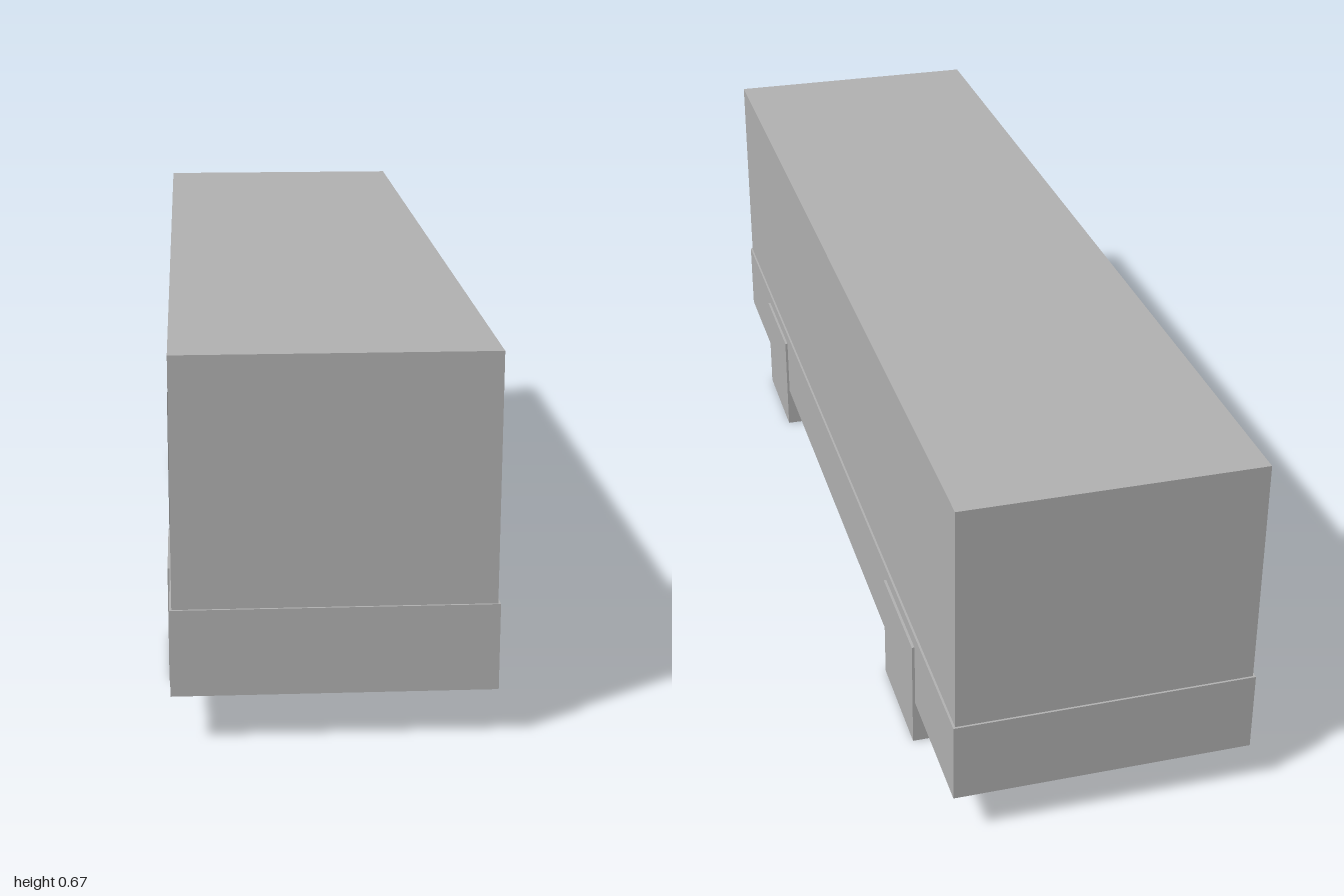
import * as THREE from 'three';

const grey = new THREE.MeshStandardMaterial({ color: 0xb2b2b2, side: THREE.DoubleSide });
grey.name = 'grey';

// Box standing on y0, with its underside left open
function openBox(name, w, d, y0, y1, x = 0, z = 0) {
  const geo = new THREE.BoxGeometry(w, y1 - y0, d);
  const index = Array.from(geo.index.array);
  index.splice(18, 6); // remove the bottom face
  geo.setIndex(index);
  geo.clearGroups();
  const mesh = new THREE.Mesh(geo, grey);
  mesh.name = name;
  mesh.position.set(x, (y0 + y1) / 2, z);
  return mesh;
}

// Flat window panel lying just proud of a wall
function panel(name, w, y0, y1, x, z, turn) {
  const mesh = new THREE.Mesh(new THREE.PlaneGeometry(w, y1 - y0), grey);
  mesh.name = name;
  mesh.position.set(x, (y0 + y1) / 2, z);
  mesh.rotation.y = turn;
  return mesh;
}

export function createModel() {
  const bus = new THREE.Group();
  bus.name = 'bus';

  // Upper body and the slightly wider hollow skirt below it
  bus.add(openBox('body', 0.542, 1.992, 0.239, 0.67));
  bus.add(openBox('skirt', 0.55, 2, 0.087, 0.239));

  // Rear window
  bus.add(panel('rearWindow', 0.47, 0.33, 0.605, 0, -0.998, Math.PI));

  for (const [side, s] of [['left', 1], ['right', -1]]) {
    // Long side window
    bus.add(panel(side + 'Window', 1.81, 0.33, 0.572, s * 0.273, 0, s * Math.PI / 2));
    // Blocky wheels
    for (const [end, e] of [['Front', 1], ['Rear', -1]]) {
      bus.add(openBox(side + end + 'Wheel', 0.052, 0.223, 0, 0.214, s * 0.254, e * 0.616));
    }
  }
  return bus;
}
